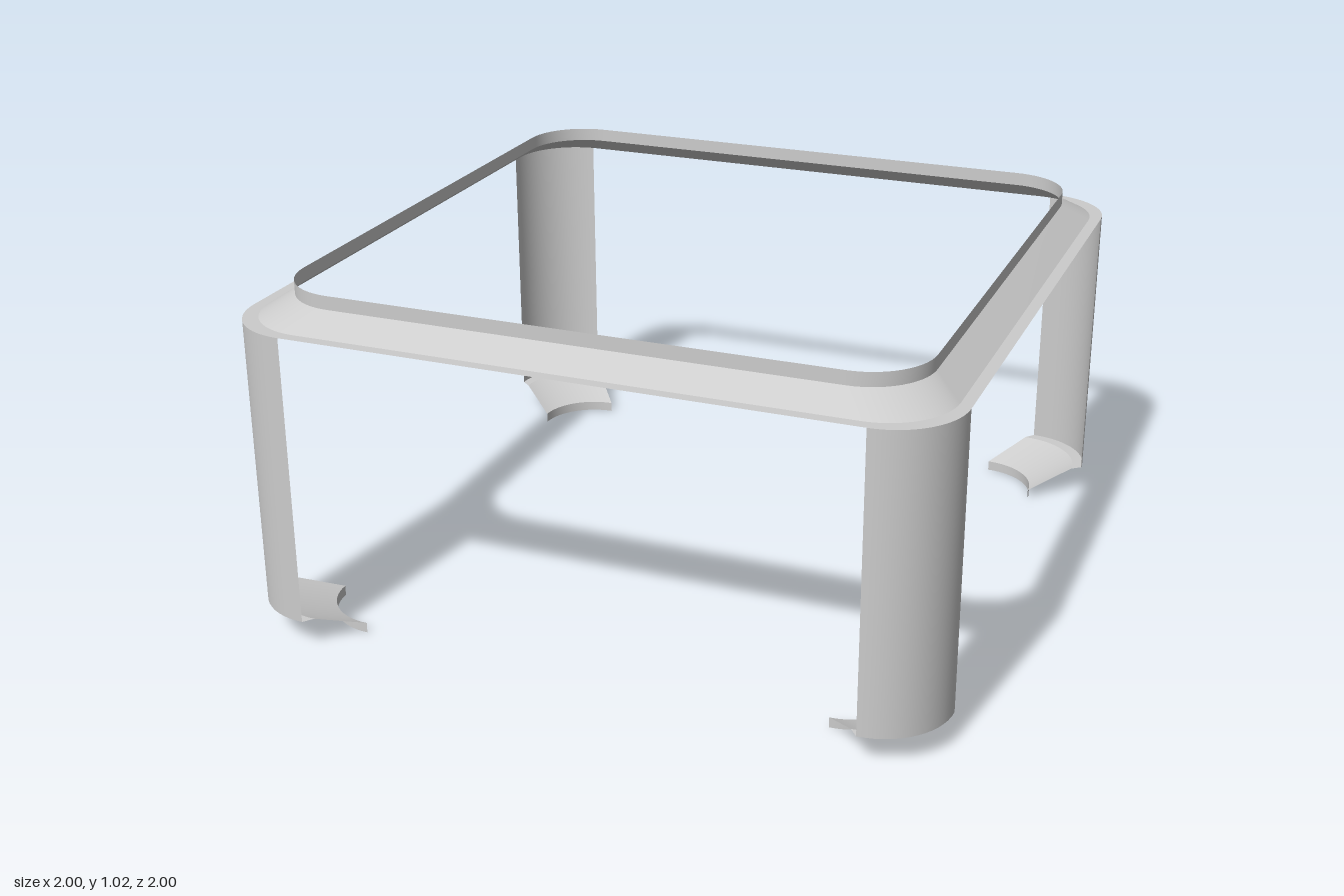
import * as THREE from 'three';

const R = 0.2, STEPS = 14;
const metal = new THREE.MeshStandardMaterial({ color: 0xcccccc, side: THREE.DoubleSide });
metal.name = 'light grey';

// Points [x, z] of the rounded corner between two sides, turned to quadrant q
function cornerArc(q) {
  const pts = [], c = 1 - R;
  for (let i = 0; i <= STEPS; i++) {
    const a = (i / STEPS) * Math.PI / 2;
    const x = c + R * Math.cos(a), z = c + R * Math.sin(a);
    const t = q * Math.PI / 2, co = Math.round(Math.cos(t)), si = Math.round(Math.sin(t));
    pts.push([x * co - z * si, x * si + z * co]);
  }
  return pts;
}

// Sheet strip between two scaled copies of an outline, each given as [scale, height]
function band(name, outline, [s0, y0], [s1, y1], closed) {
  const pos = [], idx = [], n = outline.length;
  for (const [x, z] of outline) pos.push(x * s0, y0, z * s0, x * s1, y1, z * s1);
  for (let i = 0; i < (closed ? n : n - 1); i++) {
    const a = 2 * i, b = 2 * ((i + 1) % n);
    idx.push(a, a + 1, b, b, a + 1, b + 1);
  }
  const g = new THREE.BufferGeometry();
  g.setAttribute('position', new THREE.Float32BufferAttribute(pos, 3));
  g.setIndex(idx);
  g.computeVertexNormals();
  const m = new THREE.Mesh(g, metal);
  m.name = name;
  return m;
}

// Joins successive profile points with one band each
function sheet(name, outline, profile, names, closed) {
  const group = new THREE.Group();
  group.name = name;
  names.forEach((part, i) => group.add(band(part, outline, profile[i], profile[i + 1], closed)));
  return group;
}

export function createModel() {
  const model = new THREE.Group();
  model.name = 'squareStand';
  const corners = [0, 1, 2, 3].map(cornerArc);

  // Top frame: narrow flat rim, sloped shoulder, upright lip
  model.add(sheet('topFrame', corners.flat(),
    [[1, 0.925], [0.967, 0.925], [0.89, 0.977], [0.89, 1.016]],
    ['rim', 'shoulder', 'lip'], true));

  // Curved corner legs with inward-sloping feet
  corners.forEach((arc, i) => model.add(sheet('cornerLeg' + (i + 1), arc,
    [[0.855, 0], [0.855, 0.03], [0.972, 0.085], [1, 0.085], [1, 0.925]],
    ['footLip', 'footSlope', 'footLedge', 'post'], false)));

  return model;
}
